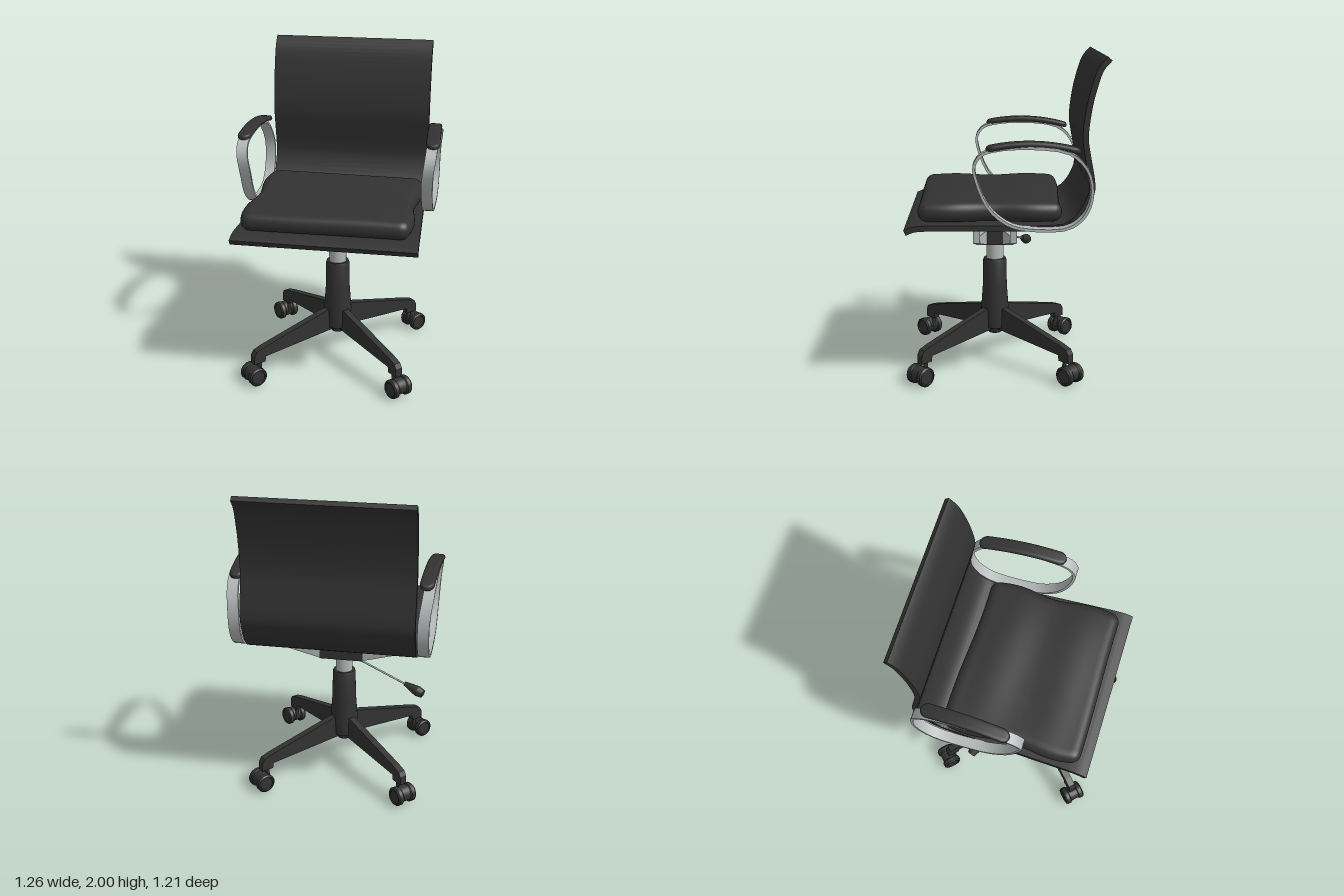
import * as THREE from 'three';
import { mergeVertices, toCreasedNormals } from 'three/addons/utils/BufferGeometryUtils.js';

const V2 = (p) => new THREE.Vector2(p[0], p[1]);

// Move every vertex of a geometry by a rule
function warp(geo, rule) {
  const pos = geo.attributes.position;
  const v = new THREE.Vector3();
  for (let i = 0; i < pos.count; i++) {
    v.fromBufferAttribute(pos, i);
    rule(v);
    pos.setXYZ(i, v.x, v.y, v.z);
  }
  return geo;
}

// Extrude a shape, centred on its depth
function slab(shape, depth) {
  const geo = new THREE.ExtrudeGeometry(shape, { depth, bevelEnabled: false, curveSegments: 12 });
  return geo.translate(0, 0, -depth / 2);
}

// Extrude a (z, y) side profile across x
const slabX = (shape, width) => slab(shape, width).rotateY(-Math.PI / 2);

// Finely divided rounded block, then bent by a rule
function softBlock(w, h, d, r, nx, ny, nz, rule) {
  let geo = new THREE.BoxGeometry(w, h, d, nx, ny, nz);
  geo.deleteAttribute('uv');
  geo.deleteAttribute('normal');
  geo = mergeVertices(geo, 1e-5);
  const inner = new THREE.Vector3(w / 2 - r, h / 2 - r, d / 2 - r);
  const low = inner.clone().negate();
  const q = new THREE.Vector3();
  warp(geo, (v) => {
    q.copy(v).clamp(low, inner);
    v.sub(q).setLength(r).add(q);
    rule(v);
  });
  geo.computeVertexNormals();
  return geo;
}

// Offset a list of 2D points sideways
function offset(points, dist, closed) {
  const n = points.length;
  return points.map((p, i) => {
    const a = points[closed ? (i + n - 1) % n : Math.max(i - 1, 0)];
    const b = points[closed ? (i + 1) % n : Math.min(i + 1, n - 1)];
    const t = b.clone().sub(a).normalize();
    return new THREE.Vector2(p.x - t.y * dist, p.y + t.x * dist);
  });
}

export function createModel() {
  const chair = new THREE.Group();
  chair.name = 'officeChair';
  const black = new THREE.MeshStandardMaterial({ color: 0x323232 });
  black.name = 'black';
  const silver = new THREE.MeshStandardMaterial({ color: 0xb4b8b8 });
  silver.name = 'silver';
  const add = (parent, name, geo, mat) => {
    const m = new THREE.Mesh(geo, mat);
    m.name = name;
    parent.add(m);
    return m;
  };
  const baseZ = 0.057;

  // Seat and back: one bent sheet, wider towards the front edge
  const line = new THREE.SplineCurve([
    [0.585, 0.985], [0.51, 1.008], [0.3, 1.008], [0, 1.003], [-0.25, 1.003], [-0.37, 1.02], [-0.45, 1.09],
    [-0.505, 1.2], [-0.51, 1.28], [-0.485, 1.42], [-0.468, 1.54], [-0.485, 1.7],
    [-0.515, 1.83], [-0.55, 1.93], [-0.6, 1.99],
  ].map(V2)).getPoints(56);
  const sheet = new THREE.Shape([...offset(line, 0.017), ...offset(line, -0.017).reverse()]);
  const shell = warp(slabX(sheet, 1.04), (v) => {
    v.x *= 1 + 0.083 * THREE.MathUtils.clamp((v.z + 0.35) / 0.94, 0, 1);
    v.y = Math.min(v.y, 2);
  });
  add(chair, 'seatAndBackShell', toCreasedNormals(shell, 0.6), black);

  // Cushion: soft, slightly pinched at the sides and wavy on top
  add(chair, 'seatCushion', softBlock(1.02, 0.115, 0.87, 0.054, 60, 8, 52, (v) => {
    const { x, z } = v;
    v.x += Math.sign(x) * 0.014 * Math.cos(z * 12 + Math.PI) * Math.min(1, Math.abs(x) * 2) - 0.01;
    v.z += 0.085 - 0.012 * Math.sin(x * 5) * (z < 0 ? -1 : 0.3);
    if (v.y > 0) {
      const mid = Math.max(0, 1 - (x / 0.52) ** 4) * Math.max(0, 1 - (z / 0.45) ** 4);
      v.y += mid * (0.008 + 0.007 * Math.cos(z * 14) * -1 + 0.006 * Math.sin(x * 5));
    }
    v.y += 1.085;
  }), black);

  // Armrests: flat looped bands with padded tops
  const loop = new THREE.CatmullRomCurve3([
    [0.07, 1.485], [-0.15, 1.5], [-0.38, 1.465], [-0.485, 1.36], [-0.515, 1.22], [-0.475, 1.09],
    [-0.375, 1.01], [-0.15, 1.0], [-0.02, 1.03], [0.1, 1.13], [0.175, 1.3], [0.185, 1.39], [0.145, 1.455],
  ].map(([z, y]) => new THREE.Vector3(z, y, 0)), true)
    .getPoints(40).slice(0, -1).map((p) => new THREE.Vector2(p.x, p.y));
  for (const side of [1, -1]) {
    const arm = new THREE.Group();
    arm.name = side > 0 ? 'leftArmrest' : 'rightArmrest';
    const band = new THREE.Shape(loop);
    band.holes.push(new THREE.Path(offset(loop, 0.017, true)));
    const bandGeo = warp(slabX(band, 0.068), (v) => {
      v.x += side * (0.565 + 0.02 * THREE.MathUtils.smoothstep(v.y, 1.25, 1.48));
    });
    add(arm, 'armBand', toCreasedNormals(bandGeo, 0.6), silver);
    add(arm, 'armPad', softBlock(0.086, 0.034, 0.55, 0.016, 8, 4, 50, (v) => {
      const end = Math.max(0, (Math.abs(v.z) - 0.23) / 0.045);
      v.x *= Math.sqrt(Math.max(0.08, 1 - end * end));
      v.x += side * (0.578 + 0.045 * v.z);
      v.z -= 0.165;
      v.y += 1.51 - 0.45 * (v.z + 0.13) ** 2;
    }), black);
    chair.add(arm);
  }

  // Under-seat mechanism with four splayed support arms
  const mech = new THREE.Group();
  mech.name = 'seatMechanism';
  mech.position.z = baseZ;
  add(mech, 'mechanismBox', new THREE.BoxGeometry(0.28, 0.1, 0.23).translate(0, 0.85, 0), black);
  const bracket = new THREE.Shape([
    [0.138, 0.802], [0.48, 0.9], [0.48, 0.99], [0.442, 0.99], [0.442, 0.936], [0.138, 0.898],
  ].map(V2));
  for (const sx of [1, -1]) for (const sz of [1, -1]) {
    const geo = slab(bracket, 0.04);
    if (sx < 0) geo.rotateY(Math.PI);
    warp(geo, (v) => {
      const t = THREE.MathUtils.clamp((Math.abs(v.x) - 0.138) / 0.304, 0, 1);
      v.z = v.z * (1.6 - 0.6 * t) + sz * (0.08 + 0.03 * t);
    });
    geo.computeVertexNormals();
    add(mech, 'supportArm', geo, silver);
  }
  chair.add(mech);

  // Height lever: thin rod with a flared knob
  const rod = (name, a, b, ra, rb, mat, sides) => {
    const from = new THREE.Vector3(...a);
    const dir = new THREE.Vector3(...b).sub(from);
    const geo = new THREE.CylinderGeometry(rb, ra, dir.length(), sides);
    const m = add(chair, name, geo, mat);
    m.position.copy(from).addScaledVector(dir, 0.5);
    m.quaternion.setFromUnitVectors(new THREE.Vector3(0, 1, 0), dir.normalize());
  };
  rod('leverRod', [-0.06, 0.815, -0.01], [-0.45, 0.695, -0.14], 0.006, 0.006, silver, 10);
  rod('leverKnob', [-0.425, 0.704, -0.13], [-0.51, 0.674, -0.163], 0.014, 0.034, black, 16);
  rod('leverKnobEnd', [-0.51, 0.674, -0.163], [-0.545, 0.663, -0.176], 0.034, 0.026, black, 16);

  // Column
  const base = new THREE.Group();
  base.name = 'base';
  base.position.z = baseZ;
  add(base, 'gasLift', new THREE.CylinderGeometry(0.055, 0.055, 0.14, 28).translate(0, 0.74, 0), silver);
  const column = new THREE.LatheGeometry([
    [0, 0.18], [0.042, 0.18], [0.05, 0.2], [0.052, 0.22], [0.085, 0.225], [0.09, 0.34],
    [0.078, 0.5], [0.075, 0.67], [0.07, 0.683], [0, 0.683],
  ].map(V2), 28);
  add(base, 'column', toCreasedNormals(column, 0.6), black);

  // Four diagonal legs, each with a twin-wheel caster
  const legShape = new THREE.Shape([
    [0.04, 0.36], [0.1, 0.355], [0.58, 0.237], [0.635, 0.218], [0.652, 0.19], [0.655, 0.135],
    [0.575, 0.135], [0.57, 0.17], [0.04, 0.21],
  ].map(V2));
  for (let i = 0; i < 4; i++) {
    const leg = new THREE.Group();
    leg.name = 'legWithCaster';
    leg.rotation.y = Math.PI / 4 + (i * Math.PI) / 2;
    add(leg, 'leg', slab(legShape, 0.045), black);
    add(leg, 'casterStem', new THREE.CylinderGeometry(0.014, 0.014, 0.09, 12).translate(0.605, 0.105, 0), black);
    add(leg, 'casterHood', new THREE.CylinderGeometry(0.052, 0.052, 0.06, 24)
      .rotateX(Math.PI / 2).translate(0.65, 0.066, 0), black);
    for (const s of [1, -1]) {
      const wheel = new THREE.LatheGeometry([
        [0, -0.02], [0.055, -0.02], [0.061, -0.012], [0.061, 0.012], [0.053, 0.021],
        [0.045, 0.021], [0.042, 0.016], [0, 0.016],
      ].map(V2), 24).rotateX((s * Math.PI) / 2).translate(0.65, 0.061, s * 0.047);
      add(leg, 'casterWheel', toCreasedNormals(wheel, 0.6), black);
    }
    base.add(leg);
  }
  chair.add(base);
  return chair;
}
